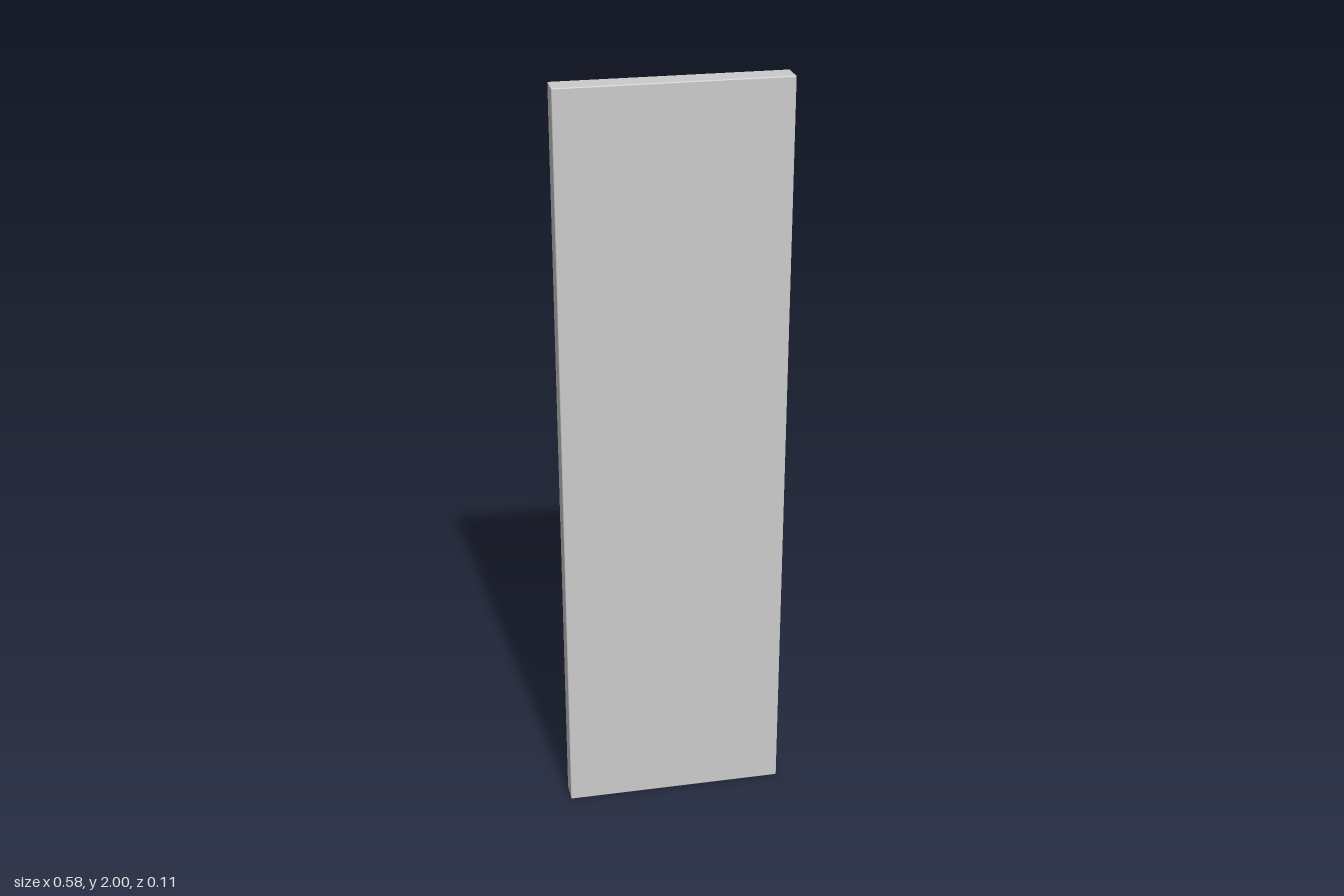
import * as THREE from 'three';
import { RoundedBoxGeometry } from 'three/addons/geometries/RoundedBoxGeometry.js';

const grey = new THREE.MeshStandardMaterial({ color: 0xcccccc });

function addMesh(parent, name, geometry) {
  const mesh = new THREE.Mesh(geometry, grey);
  mesh.name = name;
  parent.add(mesh);
  return mesh;
}

// Disc or rod pointing out of the back face, from depth z0 to z1
function backCylinder(parent, name, radius, z0, z1, bevel = 0) {
  const h = z1 - z0;
  const profile = [[0, 0], [radius, 0], [radius, 0], [radius, h - bevel], [radius, h - bevel],
    [radius - bevel, h], [radius - bevel, h], [0, h]].map(([r, y]) => new THREE.Vector2(r, y));
  const geometry = new THREE.LatheGeometry(profile, 40);
  geometry.rotateX(-Math.PI / 2);
  const mesh = addMesh(parent, name, geometry);
  mesh.position.z = -z0;
}

// Tapered lever: round hub, narrow blade, rounded tip
function leverGeometry() {
  const length = 0.063, hub = 0.011, tip = 0.007;
  const shape = new THREE.Shape();
  shape.absarc(0, 0, hub, -2.5, 2.5, false);
  shape.quadraticCurveTo(-0.02, 0.005, -length, tip);
  shape.absarc(-length, 0, tip, Math.PI / 2, Math.PI * 1.5, false);
  shape.quadraticCurveTo(-0.02, -0.005, hub * Math.cos(2.5), -hub * Math.sin(2.5));
  const geometry = new THREE.ExtrudeGeometry(shape, {
    depth: 0.0025, bevelEnabled: true, bevelThickness: 0.0006,
    bevelSize: 0.0005, bevelOffset: -0.0005, bevelSegments: 2, curveSegments: 20,
  });
  // Lean the blade slightly outwards towards its tip
  const p = geometry.attributes.position;
  for (let i = 0; i < p.count; i++) {
    p.setZ(i, p.getZ(i) - 0.0015 * Math.min(1, Math.max(0, -p.getX(i) / length)));
  }
  geometry.computeVertexNormals();
  return geometry;
}

export function createModel() {
  const model = new THREE.Group();
  model.name = 'door';

  // Door leaf with slightly eased edges
  const leaf = addMesh(model, 'doorLeaf', new RoundedBoxGeometry(0.585, 2, 0.063, 3, 0.003));
  leaf.position.set(0, 1, 0.0235);

  // Handle set on the back face
  const handle = new THREE.Group();
  handle.name = 'handle';
  handle.position.set(0.21, 0.912, 0);
  model.add(handle);
  backCylinder(handle, 'rosette', 0.049, 0.007, 0.018, 0.001);
  backCylinder(handle, 'collar', 0.018, 0.017, 0.021, 0.001);
  backCylinder(handle, 'spindle', 0.011, 0.02, 0.053);
  backCylinder(handle, 'hub', 0.0115, 0.051, 0.057, 0.001);
  const lever = addMesh(handle, 'lever', leverGeometry());
  lever.position.z = -0.055;

  return model;
}
